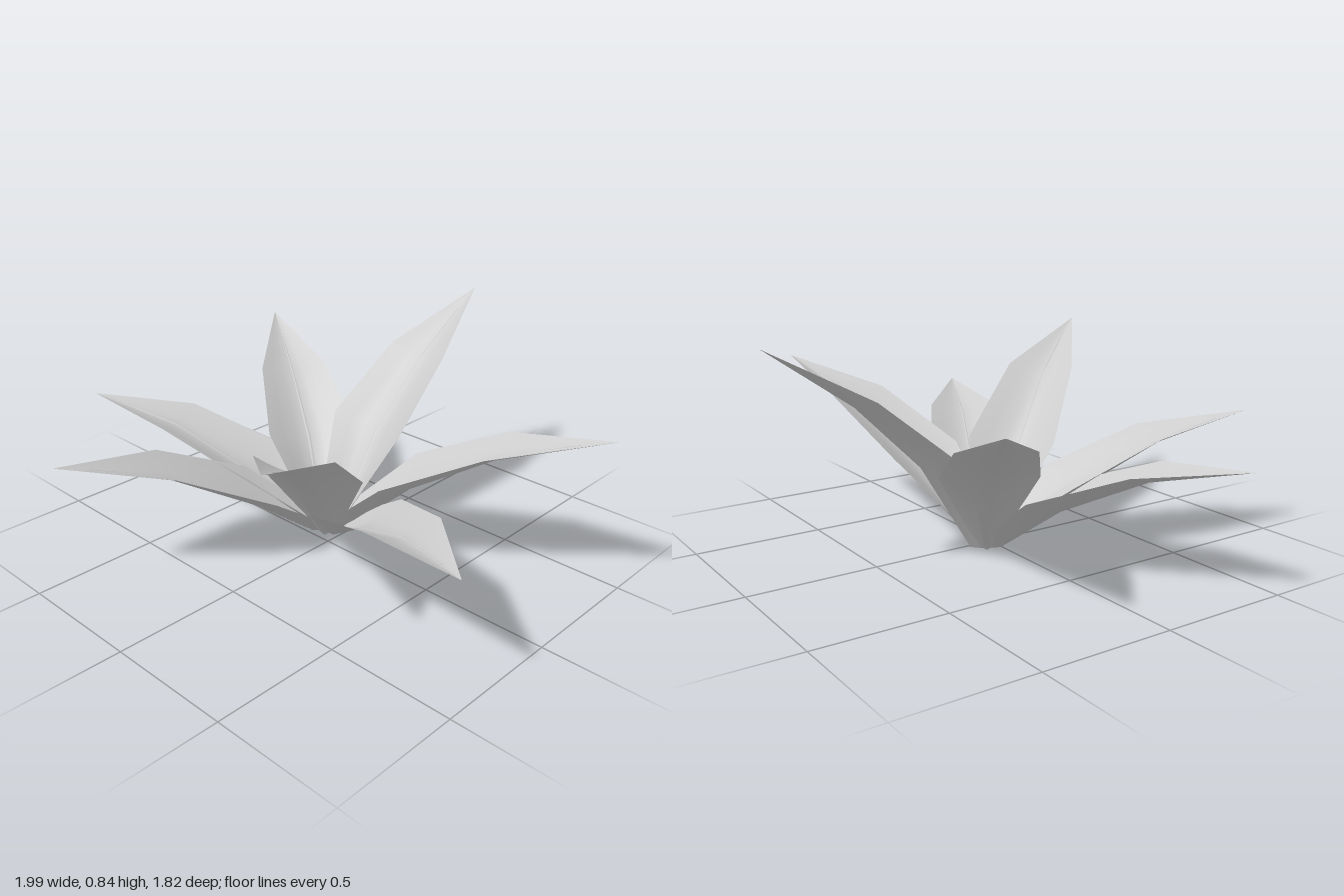
import * as THREE from 'three';

const CENTRE_X = -0.06, CENTRE_Z = -0.06;

// One entry per leaf: tip x, y, z; then [share of the reach, height] of the rim at two sections
const LEAVES = [
  { tip: [-0.02, 0.84, -0.91], low: [0.25, 0.41], high: [0.59, 0.65] },
  { tip: [0.99, 0.635, -0.37], low: [0.277, 0.34], high: [0.62, 0.53] },
  { tip: [0.96, 0.455, 0.435], low: [0.275, 0.27], high: [0.635, 0.415] },
  { tip: [0.5, 0.765, 0.79], low: [0.255, 0.37], high: [0.59, 0.615] },
  { tip: [-0.45, 0.495, 0.905], low: [0.275, 0.27], high: [0.62, 0.43] },
  { tip: [-1.0, 0.455, 0.355], low: [0.27, 0.27], high: [0.63, 0.41] },
  { tip: [-0.815, 0.65, -0.5], low: [0.265, 0.35], high: [0.61, 0.52] },
];

// Joins rows of points into an open, smooth surface
function loft(rows) {
  const n = rows[0].length, index = [];
  for (let i = 0; i < rows.length - 1; i++) {
    for (let j = 0; j < n - 1; j++) {
      const a = i * n + j, b = a + n;
      index.push(a, a + 1, b, a + 1, b + 1, b);
    }
  }
  const geometry = new THREE.BufferGeometry().setFromPoints(rows.flat());
  geometry.setIndex(index);
  geometry.computeVertexNormals();
  return geometry;
}

function makeLeaf({ tip, low, high }, material) {
  const dx = tip[0] - CENTRE_X, dz = tip[2] - CENTRE_Z;
  const reach = Math.hypot(dx, dz);
  const r1 = low[0] * reach, r2 = high[0] * reach;

  // Sections: rim distance, rim height, half width, trough depth, slope
  const sections = [
    { r: 0, y: 0.001, w: 0.004, d: 0, a: 0.8 },
    { r: 0.015, y: 0.065, w: 0.065, d: 0.07, a: 0.85 },
    { r: r1, y: low[1], w: 0.18, d: 0.08, a: Math.atan2(high[1], r2) },
    { r: r2, y: high[1], w: 0.138, d: 0.046, a: Math.atan2(tip[1] - low[1], reach - r1) },
    { r: reach, y: tip[1], w: 0.002, d: 0, a: 0.5 },
  ];
  // Local space: z points outward, x across the leaf
  const point = (s, u, lift = 0) => {
    const d = s.d * (1 - Math.pow(Math.abs(u), 1.4)) - lift;
    return new THREE.Vector3(u * s.w, s.y - d * Math.cos(s.a), s.r + d * Math.sin(s.a));
  };

  const leaf = new THREE.Group();
  leaf.name = 'leaf';
  const across = [-1, -0.66, -0.33, 0, 0.33, 0.66, 1];
  const blade = new THREE.Mesh(loft(sections.map(s => across.map(u => point(s, u)))), material);
  blade.name = 'blade';

  // Slim raised rib along the trough, tapering out before the tip
  const keel = sections.slice(1).map(s => point(s, 0, 0.004));
  keel[3].lerpVectors(keel[2], keel[3], 0.7);
  const half = [0.007, 0.006, 0.004, 0.001];
  const rib = new THREE.Mesh(loft(keel.map((p, i) => [-1, 0, 1].map(u =>
    new THREE.Vector3(p.x + u * half[i], p.y + (u ? 0 : 0.003), p.z)))), material);
  rib.name = 'midrib';

  leaf.add(blade, rib);
  leaf.position.set(CENTRE_X, 0, CENTRE_Z);
  leaf.rotation.y = Math.atan2(dx, dz);
  return leaf;
}

export function createModel() {
  const leafGrey = new THREE.MeshStandardMaterial({ color: 0xcccccc, side: THREE.DoubleSide });
  leafGrey.name = 'leaf grey';
  const plant = new THREE.Group();
  plant.name = 'rosettePlant';
  for (const spec of LEAVES) plant.add(makeLeaf(spec, leafGrey));
  return plant;
}
